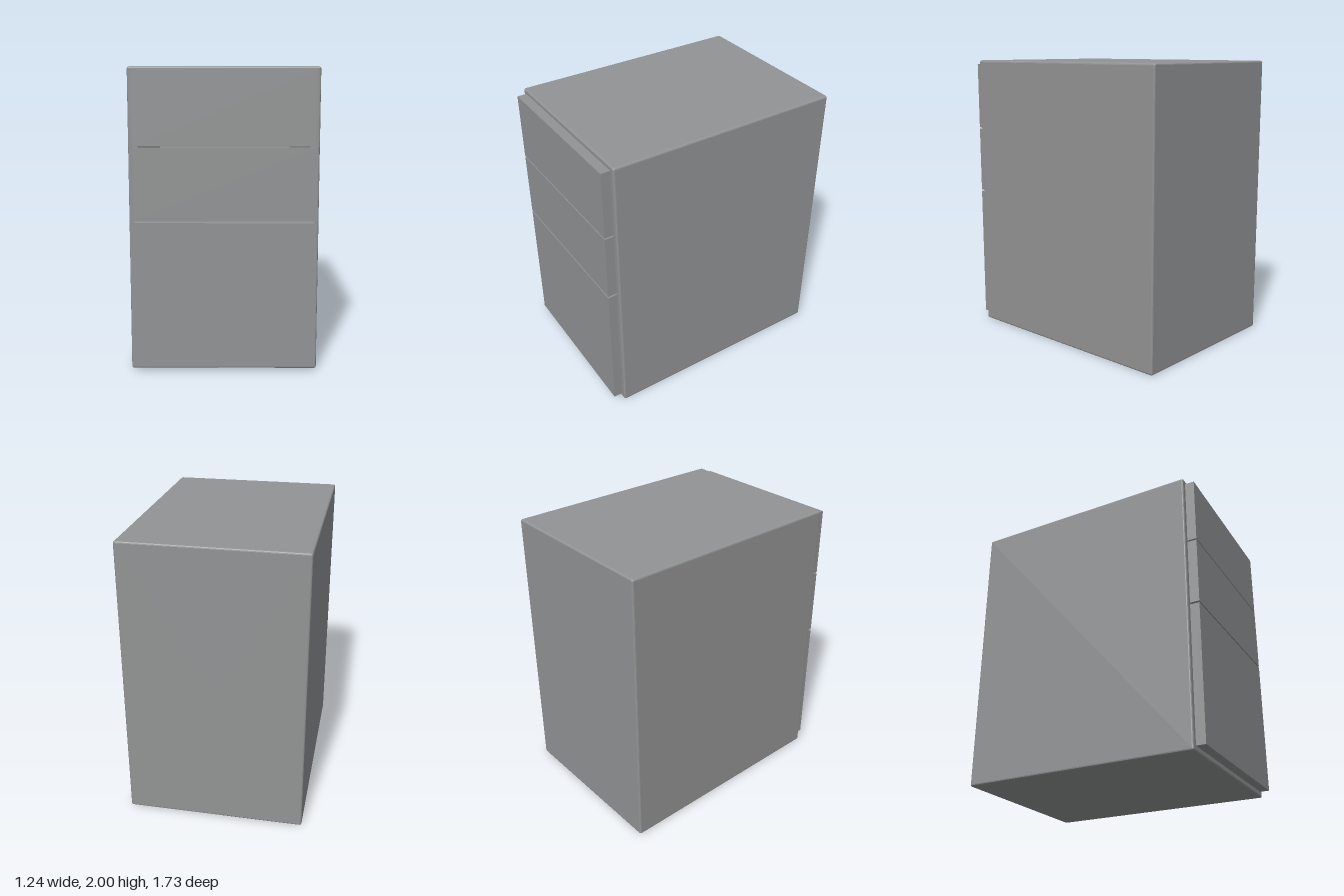
import * as THREE from 'three';

const W = 0.618, H = 1, BACK = -0.866, FRONT = 0.8, EDGE = 0.012, WALL = 0.063;

// Rounded rectangle centred on (0, H), counter-clockwise seen from the front
function ring(inset, radius, z) {
  const points = [];
  for (let corner = 0; corner < 4; corner++) {
    const sx = corner === 0 || corner === 3 ? 1 : -1;
    const sy = corner < 2 ? 1 : -1;
    for (let i = 0; i <= 3; i++) {
      const a = (corner + i / 3) * Math.PI / 2;
      points.push([
        sx * (W - inset - radius) + radius * Math.cos(a),
        H + sy * (H - inset - radius) + radius * Math.sin(a), z]);
    }
  }
  return points;
}

// Skin a list of rings, closing both ends with a fan; every face stays flat
function loft(rings) {
  const n = rings[0].length, last = rings.length - 1;
  const position = rings.flat(2), index = [];
  position.push(0, H, rings[0][0][2], 0, H, rings[last][0][2]);
  const startCentre = rings.length * n;
  for (let j = 0; j < n; j++) {
    const k = (j + 1) % n;
    for (let i = 0; i < last; i++) {
      const a = i * n + j, b = i * n + k;
      index.push(a, b, b + n, a, b + n, a + n);
    }
    index.push(startCentre, k, j, startCentre + 1, last * n + j, last * n + k);
  }
  const indexed = new THREE.BufferGeometry();
  indexed.setAttribute('position', new THREE.Float32BufferAttribute(position, 3));
  indexed.setIndex(index);
  const geometry = indexed.toNonIndexed();
  geometry.computeVertexNormals();
  return geometry;
}

export function createModel() {
  const group = new THREE.Group();
  const material = new THREE.MeshStandardMaterial({ color: 0x929394 });

  const add = (name, geometry, y = 0, z = 0) => {
    const mesh = new THREE.Mesh(geometry, material);
    mesh.name = name;
    mesh.position.set(0, y, z);
    group.add(mesh);
  };

  // Cabinet: softened outer edges, hollow and open at the front
  const rings = [];
  for (let i = 0; i <= 3; i++) {
    const a = i / 3 * Math.PI / 2;
    const inset = EDGE * (1 - Math.sin(a));
    rings.push(ring(inset, EDGE - inset + 0.002, BACK + EDGE * (1 - Math.cos(a))));
  }
  for (let i = 0; i <= 3; i++) {
    const a = i / 3 * Math.PI / 2;
    const inset = EDGE * (1 - Math.cos(a));
    rings.push(ring(inset, EDGE - inset + 0.002, FRONT - EDGE * (1 - Math.sin(a))));
  }
  rings.push(ring(WALL, 0.002, FRONT), ring(WALL, 0.002, BACK + WALL));
  add('cabinet', loft(rings));

  // Drawer fronts: two shallow ones above a deep one
  const drawers = [
    ['topDrawerFront', 1.496, 1.97],
    ['middleDrawerFront', 1.014, 1.486],
    ['bottomDrawerFront', 0.037, 1.002],
  ];
  for (const [name, low, high] of drawers) {
    add(name, new THREE.BoxGeometry(1.164, high - low, 0.066), (low + high) / 2, FRONT + 0.033);
  }
  return group;
}
